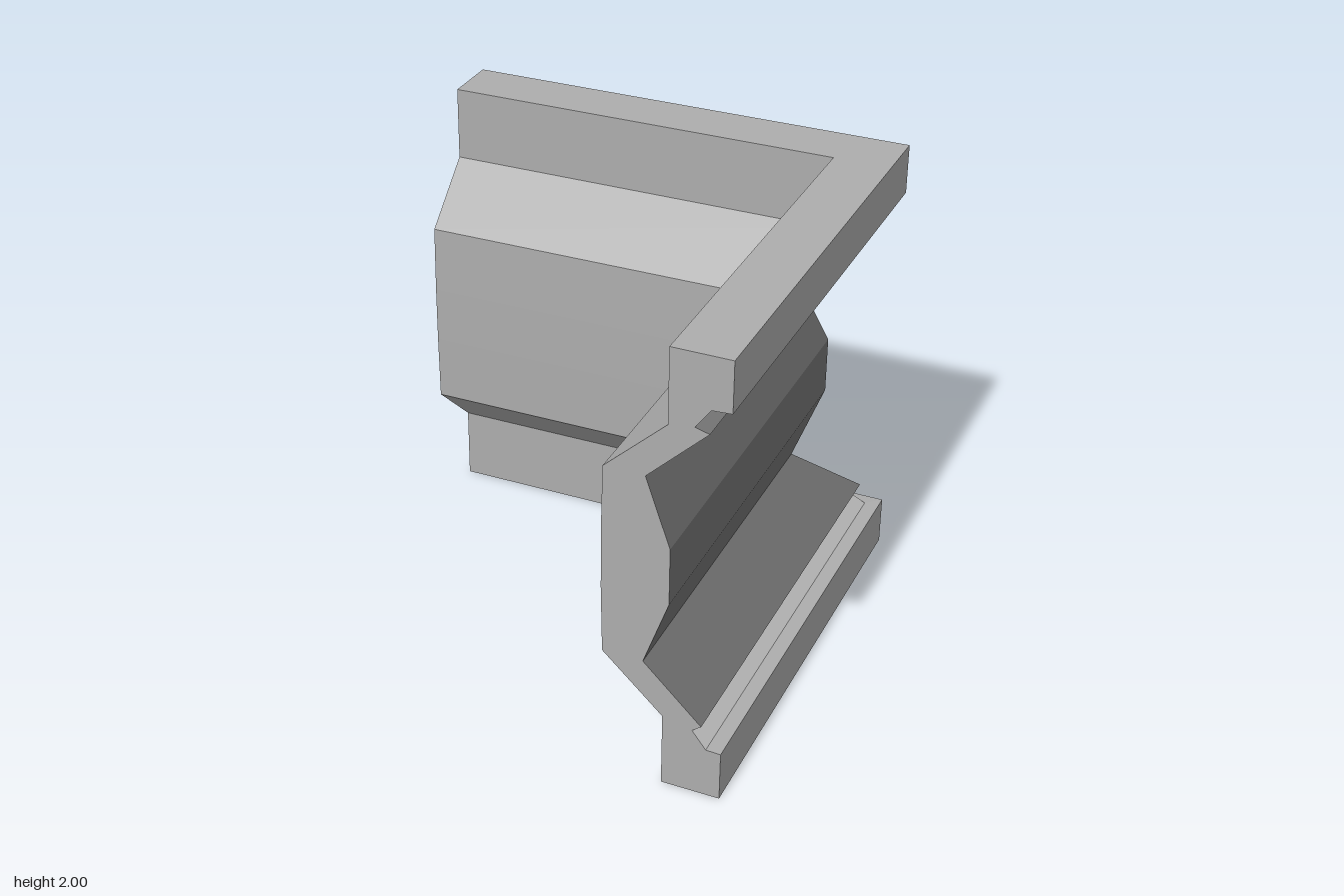
import * as THREE from 'three';

// Moulding section as [outward distance, height], counter-clockwise
const profile = [
  // outer face, bottom to top
  [1, 0], [1, 0.222], [0.937, 0.225], [0.877, 0.303], [0.915, 0.332],
  [0.664, 0.575], [0.769, 0.875], [0.769, 1.13], [0.664, 1.43],
  [0.915, 1.674], [0.855, 1.69], [0.918, 1.775], [1, 1.78], [1, 2],
  // inner face, top to bottom
  [0.75, 2], [0.75, 1.674], [0.49, 1.43], [0.484, 1.13], [0.484, 0.875],
  [0.49, 0.575], [0.75, 0.332], [0.75, 0],
];

const body = new THREE.MeshStandardMaterial({ color: 0xadadad, flatShading: true });
const dark = new THREE.MeshStandardMaterial({ color: 0x757575, flatShading: true });
const light = new THREE.MeshStandardMaterial({ color: 0xcccccc, flatShading: true });

// Runs of profile edges: [name, first edge, edge count, material]
const bands = [
  ['Frame', 11, 13, body],
  ['LowerStrip', 2, 1, light],
  ['OuterPanel', 3, 7, dark],
  ['UpperStrip', 10, 1, light],
];

// Sections along the L-shaped run: side arm end, mitred corner, back arm end
const sections = [
  ([d, y]) => [d, y, 1],
  ([d, y]) => [d, y, -d],
  ([d, y]) => [-1, y, 0.012 - d],
].map((place) => profile.map(place));

function meshFrom(name, triangles, material) {
  const geometry = new THREE.BufferGeometry();
  geometry.setAttribute('position', new THREE.Float32BufferAttribute(triangles.flat(), 3));
  geometry.computeVertexNormals();
  const mesh = new THREE.Mesh(geometry, material);
  mesh.name = name;
  return mesh;
}

// Walls joining two neighbouring sections, one mesh per band
function arm(name, from, to) {
  const group = new THREE.Group();
  group.name = name;
  for (const [bandName, first, count, material] of bands) {
    const triangles = [];
    for (let k = 0; k < count; k++) {
      const i = (first + k) % profile.length;
      const j = (i + 1) % profile.length;
      triangles.push(from[i], to[i], to[j], from[i], to[j], from[j]);
    }
    group.add(meshFrom(name + bandName, triangles, material));
  }
  return group;
}

// Flat cut face closing the end of an arm
function endFace(name, section, flip) {
  const outline = profile.map(([d, y]) => new THREE.Vector2(d, y));
  const triangles = [];
  for (const [a, b, c] of THREE.ShapeUtils.triangulateShape(outline, [])) {
    triangles.push(section[a], section[flip ? c : b], section[flip ? b : c]);
  }
  return meshFrom(name, triangles, body);
}

export function createModel() {
  const group = new THREE.Group();
  group.name = 'cornerMoulding';
  group.add(
    arm('sideArm', sections[0], sections[1]),
    arm('backArm', sections[1], sections[2]),
    endFace('sideArmEnd', sections[0], false),
    endFace('backArmEnd', sections[2], true)
  );
  return group;
}
